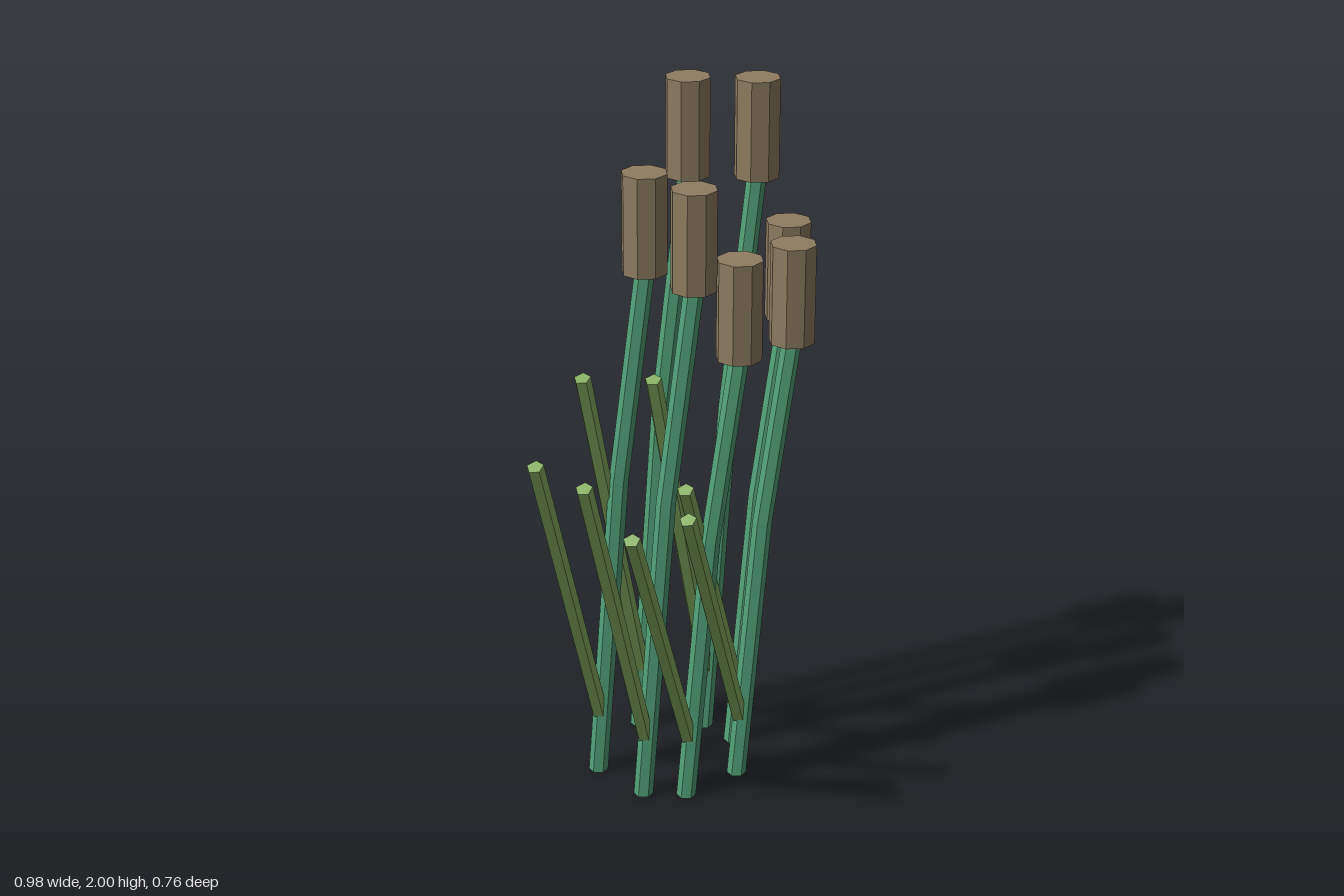
import * as THREE from 'three';

const HEAD_RADIUS = 0.065, HEAD_LENGTH = 0.285, STEM_RADIUS = 0.028, LEAF_RADIUS = 0.024;
const LEAN = 0.16; // sideways drift from root to head

// root x, root z, stem height
const REEDS = [
  [0.065, -0.315, 1.715],
  [0.23, -0.215, 1.715],
  [0.265, -0.095, 1.33],
  [0.18, 0.075, 1.33],
  [-0.01, 0.115, 1.33],
  [-0.115, 0.05, 1.525],
  [-0.167, -0.135, 1.525],
];

const material = (name, color) => {
  const m = new THREE.MeshStandardMaterial({ color, flatShading: true });
  m.name = name;
  return m;
};

const named = (name, geometry, mat) => {
  const mesh = new THREE.Mesh(geometry, mat);
  mesh.name = name;
  return mesh;
};

// Six-sided stem, sheared in two steps so that it bends at 60% of its height
function stemGeometry(height) {
  const g = new THREE.CylinderGeometry(STEM_RADIUS, STEM_RADIUS, height, 6, 2);
  const p = g.attributes.position;
  for (let i = 0; i < p.count; i++) {
    const level = Math.round(p.getY(i) / (height / 2)) + 1; // 0 root, 1 bend, 2 top
    p.setX(i, p.getX(i) + [0, 0.075, LEAN][level]);
    p.setY(i, [0, 0.6, 1][level] * height);
  }
  g.computeVertexNormals();
  return g;
}

// Five-sided straight leaf between two points
function leafMesh(from, to, mat) {
  const dir = to.clone().sub(from);
  const leaf = named('leaf', new THREE.CylinderGeometry(LEAF_RADIUS, LEAF_RADIUS, dir.length(), 5), mat);
  leaf.position.copy(from).add(to).multiplyScalar(0.5);
  leaf.quaternion.setFromUnitVectors(new THREE.Vector3(0, 1, 0), dir.normalize());
  return leaf;
}

export function createModel() {
  const model = new THREE.Group();
  model.name = 'reeds';
  const stemGreen = material('stemGreen', 0x52a077);
  const leafGreen = material('leafGreen', 0x86af62);
  const headBrown = material('headBrown', 0x8f7d62);

  REEDS.forEach(([x, z, height]) => {
    const reed = new THREE.Group();
    reed.name = 'reed';
    reed.position.set(x, 0, z);

    const head = named('seedHead', new THREE.CylinderGeometry(HEAD_RADIUS, HEAD_RADIUS, HEAD_LENGTH, 8), headBrown);
    head.position.set(LEAN, height + HEAD_LENGTH / 2, 0);

    // The leaf leaves the stem low down and ends at three quarters of its height
    const leaf = leafMesh(
      new THREE.Vector3(0.005, 0.19, 0),
      new THREE.Vector3(-0.297, height * 0.75 - 0.01, 0.241),
      leafGreen
    );

    reed.add(named('stem', stemGeometry(height), stemGreen), head, leaf);
    model.add(reed);
  });
  return model;
}
